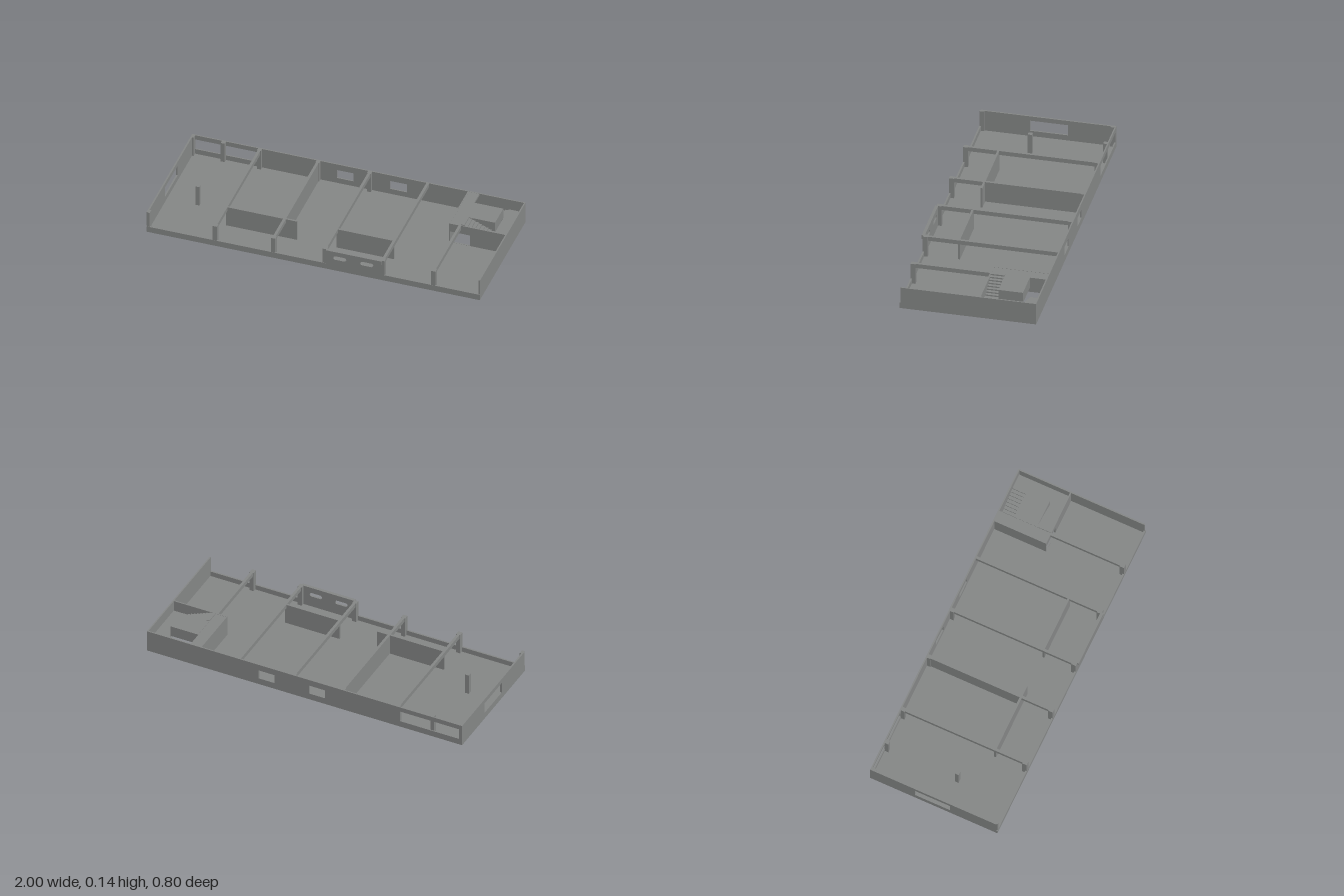
import * as THREE from 'three';

const concrete = new THREE.MeshStandardMaterial({ color: 0x838584 });
concrete.name = 'concrete grey';

const FLOOR = 0.006, CURB = 0.037, BEAM = 0.109, TOP = 0.135;

export function createModel() {
  const model = new THREE.Group();
  model.name = 'buildingStorey';

  const add = (name, geometry) => {
    const mesh = new THREE.Mesh(geometry, concrete);
    mesh.name = name;
    model.add(mesh);
    return mesh;
  };
  // Box given by its extents
  const box = (name, x0, x1, y0, y1, z0, z1) =>
    add(name, new THREE.BoxGeometry(x1 - x0, y1 - y0, z1 - z0)
      .translate((x0 + x1) / 2, (y0 + y1) / 2, (z0 + z1) / 2));

  const rect = (C, x0, x1, y0, y1) => new C([
    new THREE.Vector2(x0, y0), new THREE.Vector2(x1, y0),
    new THREE.Vector2(x1, y1), new THREE.Vector2(x0, y1)]);
  const slot = (x0, x1, y0, y1) => {
    const r = (y1 - y0) / 2, y = (y0 + y1) / 2, p = new THREE.Path();
    p.absarc(x1 - r, y, r, -Math.PI / 2, Math.PI / 2);
    p.absarc(x0 + r, y, r, Math.PI / 2, Math.PI * 1.5);
    p.closePath();
    return p;
  };
  // Flat panel with openings, extruded along +z
  const panel = (x0, x1, y0, y1, depth, holes) => {
    const s = rect(THREE.Shape, x0, x1, y0, y1);
    s.holes.push(...holes);
    return new THREE.ExtrudeGeometry(s, { depth, bevelEnabled: false, curveSegments: 6 });
  };
  const opening = (...e) => rect(THREE.Path, ...e);

  // Thin floor slab with the stairwell opening, and the curb along the front
  add('floorSlab', panel(-1, 1, -0.395, 0.4, FLOOR, [opening(0.66, 0.992, 0.075, 0.392)])
    .rotateX(-Math.PI / 2));
  box('frontCurb', -1, 1, FLOOR, CURB, 0.385, 0.395);

  // Outer walls
  add('backWall', panel(-1, 1, FLOOR, TOP, 0.008, [
    opening(-0.98, -0.605, 0.038, 0.106),
    opening(-0.13, -0.03, 0.04, 0.096),
    opening(0.19, 0.29, 0.04, 0.096)]).translate(0, 0, -0.4));
  add('rightEndWall', panel(-0.388, 0.392, FLOOR, TOP, 0.01, [opening(-0.1, 0.12, 0.04, 0.107)])
    .rotateY(Math.PI / 2).translate(-1, 0, 0));
  box('leftEndWall', 0.992, 1, FLOOR, TOP, -0.392, 0.39);

  // Cross beams
  for (const x of [-0.59, -0.24, 0.07, 0.415])
    box('crossBeam', x - 0.008, x + 0.008, BEAM, TOP, -0.392, 0.385);
  box('crossBeam', 0.712, 0.728, BEAM, TOP, -0.07, 0.385);

  // Columns along the front and back
  for (const x of [-0.59, -0.24, 0.07, 0.415, 0.72])
    box('frontColumn', x - 0.013, x + 0.013, FLOOR, TOP, 0.365, 0.394);
  for (const x of [-0.807, -0.59, -0.24, 0.07])
    box('backColumn', x - 0.012, x + 0.012, FLOOR, TOP, -0.394, -0.37);
  for (const z of [-0.382, 0.38])
    box('cornerColumn', -0.995, -0.98, FLOOR, TOP, z - 0.014, z + 0.014);
  box('freeColumn', -0.819, -0.795, FLOOR, TOP, 0.045, 0.069);

  // Partition walls
  box('partition', -0.59, -0.165, FLOOR, TOP - 0.001, 0.185, 0.197);
  box('partition', -0.247, -0.233, FLOOR, TOP - 0.001, -0.392, 0.19);
  box('partition', 0.07, 0.415, FLOOR, TOP - 0.001, 0.18, 0.192);

  // Front room panel with two slotted windows and a projecting lintel
  add('frontRoomPanel', panel(0.078, 0.414, CURB, BEAM, 0.01, [
    slot(0.122, 0.2, 0.075, 0.1), slot(0.283, 0.362, 0.075, 0.1)]).translate(0, 0, 0.385));
  box('frontRoomLintel', 0.078, 0.414, BEAM, TOP, 0.385, 0.403);

  // Stairwell walls, with a doorway
  add('stairwellFrontWall', panel(0.655, 0.994, FLOOR, TOP, 0.008, [
    opening(0.662, 0.78, FLOOR + 0.001, 0.08)]).translate(0, 0, -0.076));
  box('stairwellSideWall', 0.655, 0.661, FLOOR, TOP, -0.392, -0.07);

  // Landings and the block between the flights
  box('upperLanding', 0.66, 0.725, 0.122, 0.134, -0.392, -0.076);
  box('lowerLanding', 0.9, 0.994, 0.056, 0.068, -0.392, -0.076);
  box('stairCore', 0.725, 0.9, 0.07, 0.1365, -0.3, -0.157);

  // Stepped flights: one up to the upper landing, one down
  const steps = 9, run = 0.175 / steps;
  for (let i = 0; i < steps; i++) {
    const x1 = 0.9 - i * run;
    const yUp = 0.068 + (i + 1) * 0.008;
    const yDown = 0.068 - (i + 1) * 0.0068;
    box('upperStep', x1 - run, x1, yUp - 0.014, yUp, -0.157, -0.074);
    box('lowerStep', x1 - run, x1, Math.max(0, yDown - 0.014), yDown, -0.393, -0.3);
  }
  return model;
}
